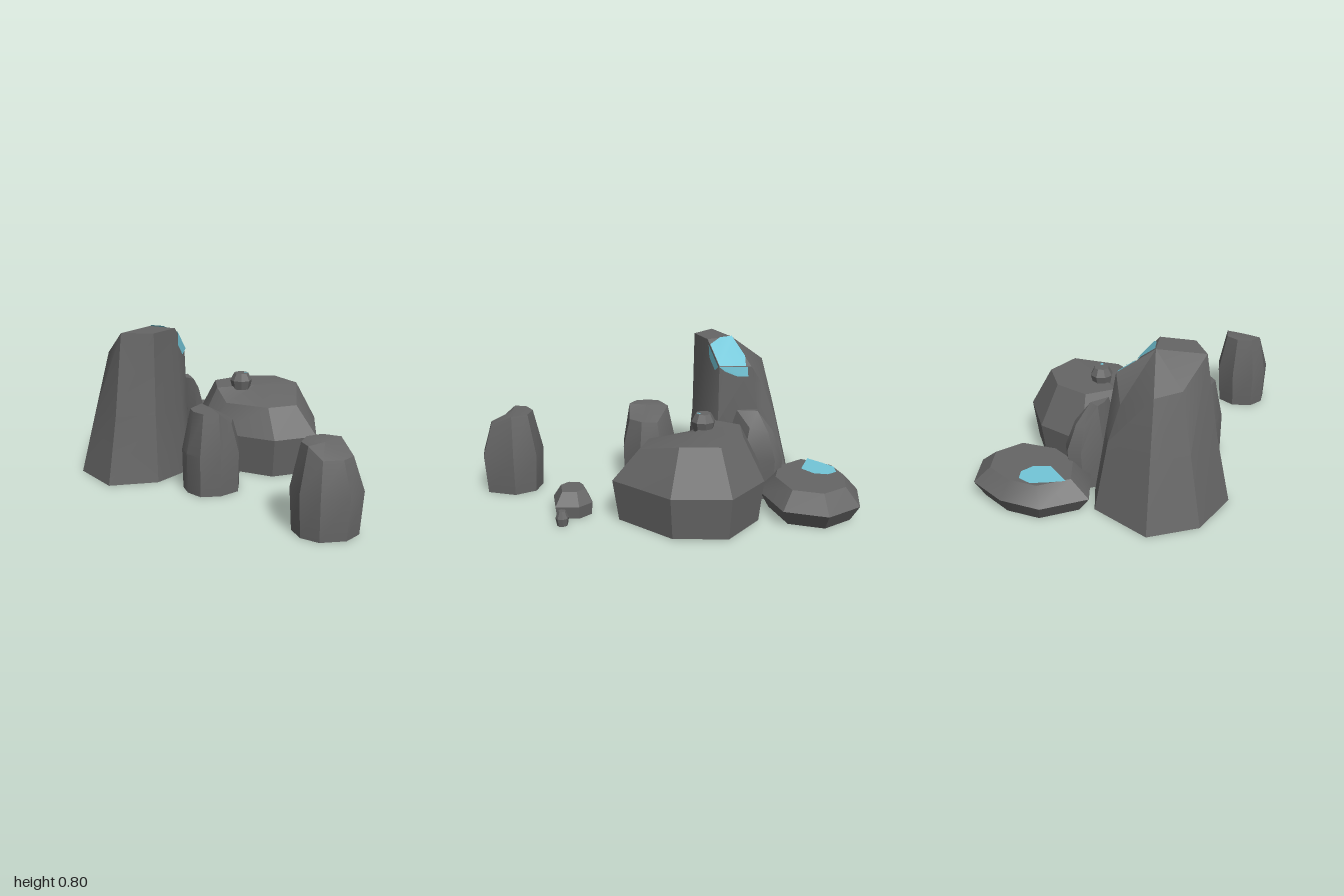
import * as THREE from 'three';
import { toCreasedNormals } from 'three/addons/utils/BufferGeometryUtils.js';

const stone = new THREE.MeshStandardMaterial({ color: 0x666666, side: THREE.DoubleSide });
stone.name = 'dark grey stone';
const mineral = new THREE.MeshStandardMaterial({ color: 0x72c6d8, side: THREE.DoubleSide });
mineral.name = 'pale blue mineral';

function toMesh(name, tris, material) {
  const g = new THREE.BufferGeometry();
  g.setAttribute('position', new THREE.Float32BufferAttribute(tris.flat(), 3));
  const mesh = new THREE.Mesh(toCreasedNormals(g, Math.PI / 6), material);
  mesh.name = name;
  return mesh;
}

// Joins rings of [x, y, z] from bottom to top and closes the top with a fan.
function loft(name, rings, peak) {
  const tris = [];
  const n = rings[0].length;
  for (let i = 0; i < n; i++) {
    const j = (i + 1) % n;
    for (let r = 0; r + 1 < rings.length; r++) {
      const a = rings[r][i], b = rings[r][j], c = rings[r + 1][i], d = rings[r + 1][j];
      tris.push(b, a, c, b, c, d);
    }
    const top = rings[rings.length - 1];
    tris.push(peak, top[j], top[i]);
  }
  return toMesh(name, tris, stone);
}

// Stone from its widest outline [x, z]; foot and crown are scaled copies.
function boulder(name, outline, { y0 = 0, mid, height, foot = 0.93, crown = 0.7, crownY = () => height }) {
  const cx = outline.reduce((s, p) => s + p[0], 0) / outline.length;
  const cz = outline.reduce((s, p) => s + p[1], 0) / outline.length;
  const ring = (k, yOf) => outline.map(([x, z]) =>
    [cx + (x - cx) * k, yOf(x, z), cz + (z - cz) * k]);
  return loft(name, [ring(foot, () => y0), ring(1, () => mid), ring(crown, crownY)], [cx, height, cz]);
}

// Regular octagon outline for pebbles
function octagon(cx, cz, r) {
  return Array.from({ length: 8 }, (_, i) => {
    const a = Math.PI + (i + 0.3) * Math.PI / 4;
    return [cx + r * Math.cos(a), cz + r * Math.sin(a)];
  });
}

// Thin mineral stain: a fan of points moved slightly off the rock
function stain(name, points, [dx, dy, dz]) {
  const p = points.map(([x, y, z]) => [x + dx, y + dy, z + dz]);
  const tris = [];
  for (let i = 1; i + 1 < p.length; i++) tris.push(p[0], p[i + 1], p[i]);
  return toMesh(name, tris, mineral);
}

export function createModel() {
  const model = new THREE.Group();
  model.name = 'rockCluster';

  // Tall rock with a flat front top and a bevelled back
  const foot = [[-0.70, -0.205], [-0.62, -0.46], [-0.29, -0.55], [-0.15, -0.47],
    [-0.10, -0.19], [-0.13, -0.07], [-0.33, 0.07], [-0.59, 0.055]].map(([x, z]) => [x, 0, z]);
  const crown = [[-0.535, 0.66, -0.2], [-0.49, 0.64, -0.33], [-0.29, 0.54, -0.39], [-0.19, 0.66, -0.35],
    [-0.125, 0.66, -0.19], [-0.195, 0.79, -0.1], [-0.33, 0.79, 0.02], [-0.49, 0.79, -0.03]];
  const peak = [-0.31, 0.79, -0.2];
  const waist = foot.map((f, i) => f.map((v, k) => k === 1 ? 0.36
    : v + (crown[i][k] - v) * (i === 6 ? 0.8 : 0.54)));
  model.add(loft('tallRock', [foot, waist, crown], peak));

  // Mineral on the tall rock's bevel and its side
  model.add(stain('tallRockMineral', [[-0.125, 0.66, -0.19], [-0.18, 0.762, -0.119], [-0.25, 0.79, -0.152],
    peak, [-0.29, 0.768, -0.225], [-0.23, 0.703, -0.3], [-0.178, 0.66, -0.32]], [0.003, 0.005, -0.002]));
  model.add(stain('tallRockMineralSide', [[-0.125, 0.66, -0.19], [-0.182, 0.66, -0.33],
    [-0.178, 0.61, -0.335], [-0.155, 0.61, -0.28], [-0.135, 0.635, -0.22]], [0.006, 0, -0.002]));
  model.add(stain('tallRockMineralDrip', [[-0.125, 0.66, -0.19], [-0.182, 0.765, -0.117],
    [-0.18, 0.6, -0.13], [-0.155, 0.66, -0.16]], [0.006, 0, 0.005]));

  // Broad domed rock
  model.add(boulder('broadRock', [[-0.04, -0.2], [0.01, -0.45], [0.28, -0.55], [0.555, -0.47],
    [0.65, -0.2], [0.525, 0.15], [0.28, 0.17], [0, -0.06]],
  { mid: 0.21, height: 0.425, crown: 0.68, crownY: (x, z) => z > -0.1 ? 0.36 : 0.425 }));

  // Low slab behind, with mineral on top
  model.add(boulder('lowSlab', [[-0.31, -0.59], [-0.255, -0.83], [-0.08, -0.955], [0.145, -1],
    [0.32, -0.88], [0.33, -0.66], [0.12, -0.49], [-0.1, -0.46]],
  { mid: 0.085, height: 0.165, foot: 0.82, crown: 0.7 }));
  model.add(stain('slabMineral', [[-0.22, -0.665], [-0.18, -0.75], [-0.14, -0.82], [-0.07, -0.845],
    [-0.02, -0.81], [-0.01, -0.74], [-0.055, -0.665]].map(([x, z]) => [x, 0.165, z]), [0, 0.005, 0]));

  // Narrow shard wedged between the rocks
  model.add(boulder('shard', [[-0.135, -0.4], [-0.11, -0.52], [-0.05, -0.565], [0.015, -0.54],
    [0.04, -0.38], [-0.04, -0.24], [-0.1, -0.32]],
  { mid: 0.22, height: 0.46, foot: 0.9, crown: 0.6,
    crownY: (x, z) => z < -0.5 ? 0.36 : x > 0 ? 0.38 : 0.455 }));

  // Upright stones in front
  model.add(boulder('sideStone', [[-0.22, 0.165], [-0.11, 0.05], [0.06, 0.07], [0.085, 0.185],
    [0.045, 0.3], [-0.06, 0.345], [-0.165, 0.33], [-0.215, 0.25]],
  { mid: 0.21, height: 0.425, foot: 0.97, crown: 0.72, crownY: (x) => x > 0 ? 0.36 : 0.425 }));
  model.add(boulder('frontStone', [[0.135, 0.8], [0.21, 0.705], [0.325, 0.685], [0.425, 0.765],
    [0.44, 0.935], [0.35, 0.99], [0.215, 0.975], [0.145, 0.9]],
  { mid: 0.21, height: 0.425, foot: 0.92, crown: 0.7, crownY: (x, z) => z > 0.93 ? 0.37 : 0.425 }));

  // Pebbles
  model.add(boulder('pebble', [[0.38, 0.385], [0.42, 0.33], [0.495, 0.275], [0.575, 0.31],
    [0.615, 0.42], [0.485, 0.5], [0.405, 0.47]],
  { mid: 0.065, height: 0.13, foot: 0.93, crown: 0.62 }));
  model.add(boulder('tinyPebble', octagon(0.66, 0.36, 0.033), { mid: 0.04, height: 0.075, foot: 0.8, crown: 0.55 }));
  model.add(boulder('topPebble', octagon(0.205, -0.21, 0.061),
    { y0: 0.41, mid: 0.46, height: 0.5, foot: 0.8, crown: 0.65 }));
  model.add(stain('topPebbleMineral', [[0.218, 0.5, -0.2], [0.235, 0.5, -0.205], [0.238, 0.5, -0.185],
    [0.222, 0.5, -0.185]], [0, 0.004, 0]));

  return model;
}
